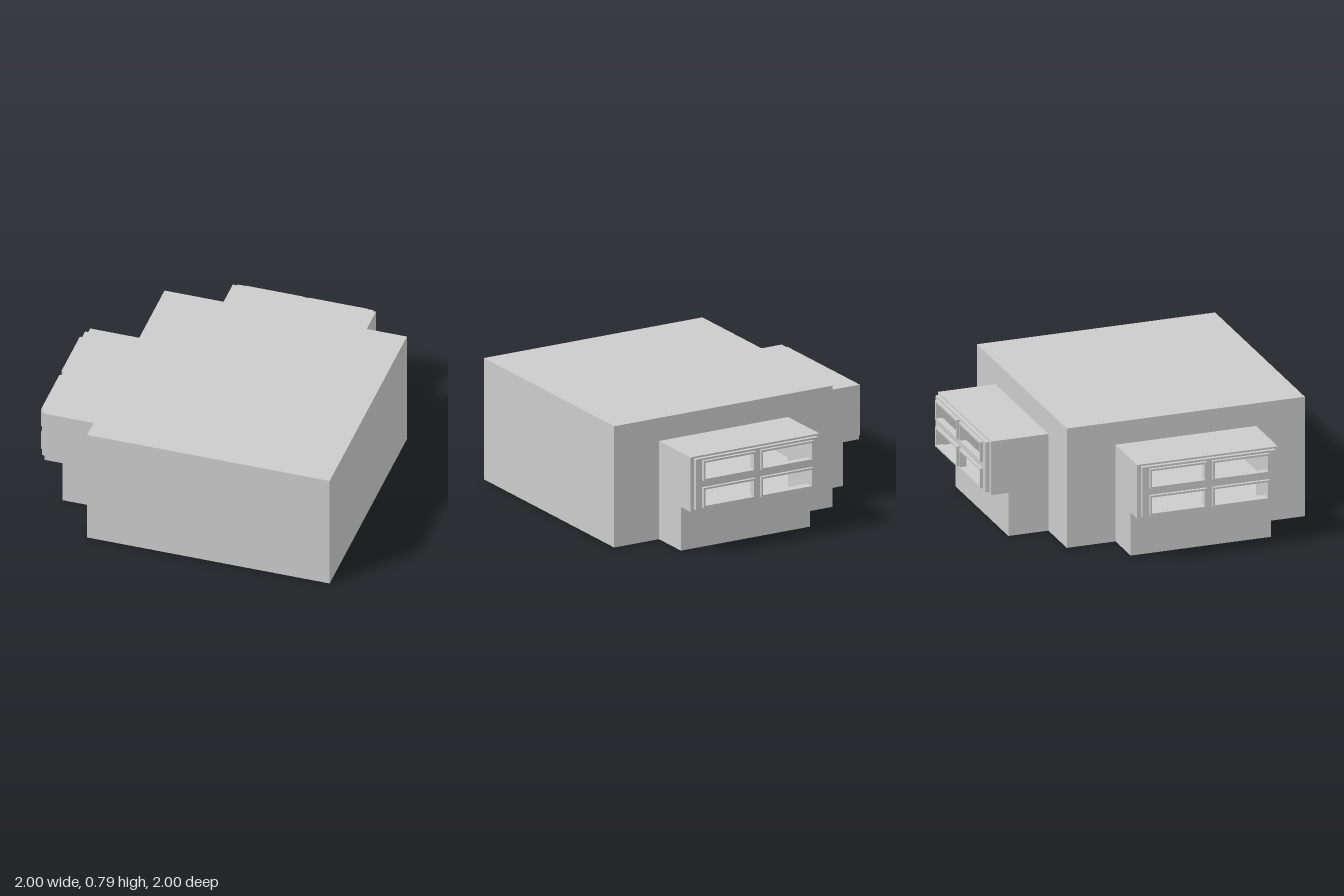
import * as THREE from 'three';

const material = new THREE.MeshStandardMaterial({ color: 0xcccccc, side: THREE.DoubleSide, flatShading: true });

const HALF = 0.7875;    // half of the square room
const CENTRE = 0.2125;  // room centre: +x and +z
const HEIGHT = 0.79;
const BAY = 0.465;      // half width of a bay
const BAY_TOP = 0.64, SILL = 0.285;
const LOWER = 0.265, UPPER = 0.38; // how far a bay stands out below and above its sill

function mesh(name, geometry, parent) {
  const m = new THREE.Mesh(geometry, material);
  m.name = name;
  parent.add(m);
  return m;
}

function outline(points, Type = THREE.Shape) {
  return new Type(points.map(([x, y]) => new THREE.Vector2(x, y)));
}

// rectangle centred on (cx, cy)
function rect(cx, cy, w, h, Type) {
  const x = w / 2, y = h / 2;
  return outline([[cx - x, cy - y], [cx + x, cy - y], [cx + x, cy + y], [cx - x, cy + y]], Type);
}

function slab(shape, depth) {
  return new THREE.ExtrudeGeometry(shape, { depth, bevelEnabled: false });
}

// flat panel across the bay, from one profile point (z, y) to the next
function panel(name, [z1, y1], [z2, y2], parent) {
  const dz = z2 - z1, dy = y2 - y1;
  const p = mesh(name, new THREE.PlaneGeometry(2 * BAY, Math.hypot(dz, dy)), parent);
  p.position.set(0, (y1 + y2) / 2, (z1 + z2) / 2);
  p.rotation.x = Math.atan2(dz, dy);
}

// four-pane window, open through to the room
function createWindow() {
  const group = new THREE.Group();
  group.name = 'window';
  const cy = 0.4635;
  const frame = rect(0, cy, 0.88, 0.33);
  for (const sx of [-1, 1]) for (const sy of [-1, 1]) {
    const x = sx * 0.2075, y = cy + sy * 0.0875;
    const w = 0.375, h = 0.13, rim = 0.012;
    const hole = () => rect(x, y, w - 2 * rim, h - 2 * rim, THREE.Path);
    frame.holes.push(hole());
    const trim = rect(x, y, w, h);
    trim.holes.push(hole());
    mesh('paneTrim', slab(trim, 0.02), group).position.z = UPPER + 0.025;
  }
  mesh('windowFrame', slab(frame, 0.025), group).position.z = UPPER;
  // face of the bay around the frame
  const face = rect(0, (SILL + BAY_TOP) / 2, 2 * BAY, BAY_TOP - SILL);
  face.holes.push(rect(0, cy, 0.88, 0.33, THREE.Path));
  mesh('bayFace', new THREE.ShapeGeometry(face), group).position.z = UPPER;
  return group;
}

// room wall with its window bay, facing +z
function createBayWall() {
  const group = new THREE.Group();
  group.name = 'bayWall';
  mesh('wallWithOpening', new THREE.ShapeGeometry(outline([
    [-HALF, 0], [-BAY, 0], [-BAY, BAY_TOP], [BAY, BAY_TOP],
    [BAY, 0], [HALF, 0], [HALF, HEIGHT], [-HALF, HEIGHT],
  ])), group);

  // stepped side walls
  const profile = [[0, 0], [LOWER, 0], [LOWER, SILL], [UPPER, SILL], [UPPER, BAY_TOP], [0, BAY_TOP]];
  for (const s of [-1, 1]) {
    const side = mesh('baySide', new THREE.ShapeGeometry(outline(profile)), group);
    side.rotation.y = -Math.PI / 2;
    side.position.x = s * BAY;
  }

  panel('bayFloor', profile[0], profile[1], group);
  panel('bayLowerWall', profile[1], profile[2], group);
  panel('baySill', profile[2], profile[3], group);
  panel('bayRoof', profile[4], profile[5], group);
  group.add(createWindow());
  group.position.y = 0;
  return group;
}

export function createModel() {
  const model = new THREE.Group();
  model.name = 'room';
  const room = new THREE.Group();
  room.name = 'roomShell';
  room.position.set(CENTRE, 0, CENTRE);
  model.add(room);

  // floor and ceiling
  for (const [name, y, turn] of [['floor', 0, 1], ['ceiling', HEIGHT, -1]]) {
    const p = mesh(name, new THREE.PlaneGeometry(2 * HALF, 2 * HALF), room);
    p.rotation.x = turn * Math.PI / 2;
    p.position.y = y;
  }

  // plain walls at +z and +x
  for (const [name, angle] of [['frontWall', 0], ['leftWall', Math.PI / 2]]) {
    const wall = mesh(name, new THREE.PlaneGeometry(2 * HALF, HEIGHT), room);
    wall.rotation.y = angle;
    wall.position.set(Math.sin(angle) * HALF, HEIGHT / 2, Math.cos(angle) * HALF);
  }

  // walls with bays at -z and -x
  for (const [name, angle] of [['backBayWall', Math.PI], ['rightBayWall', -Math.PI / 2]]) {
    const wall = createBayWall();
    wall.name = name;
    wall.rotation.y = angle;
    wall.position.set(Math.sin(angle) * HALF, 0, Math.cos(angle) * HALF);
    room.add(wall);
  }
  return model;
}
